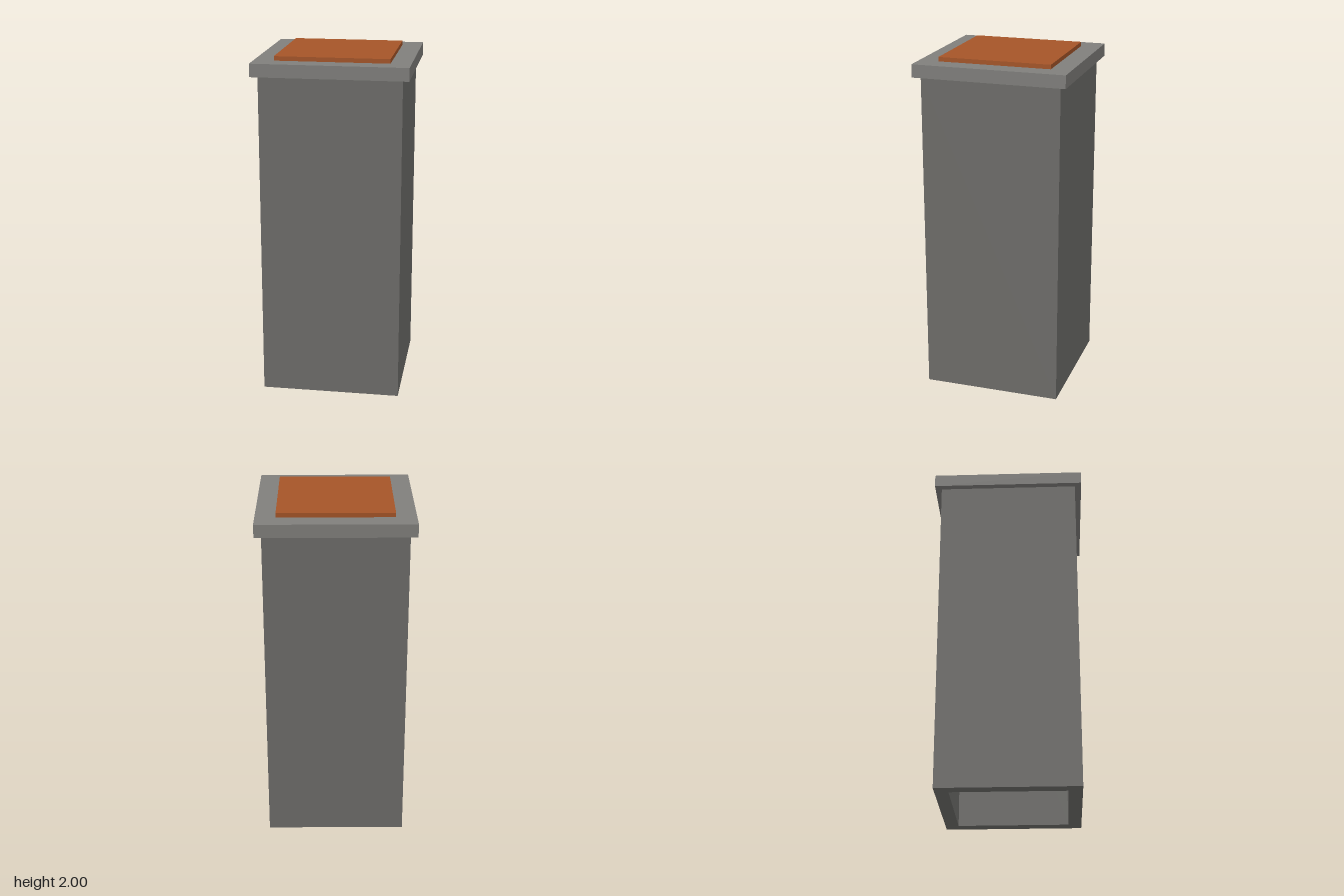
import * as THREE from 'three';

const BODY_HALF = 0.405, INNER_HALF = 0.327, CAP_HALF = 0.443;
const BODY_TOP = 1.9, CAP_TOP = 1.975, TOP = 2;

function material(color) {
  return new THREE.MeshStandardMaterial({ color });
}

// Square outline centred on the origin
function trace(path, h) {
  path.moveTo(-h, -h);
  path.lineTo(h, -h);
  path.lineTo(h, h);
  path.lineTo(-h, h);
  path.closePath();
  return path;
}

// Square slab between two heights
function slab(name, half, y0, y1, mat) {
  const mesh = new THREE.Mesh(new THREE.BoxGeometry(half * 2, y1 - y0, half * 2), mat);
  mesh.position.y = (y0 + y1) / 2;
  mesh.name = name;
  return mesh;
}

export function createModel() {
  const group = new THREE.Group();
  group.name = 'pillar';

  // Hollow square shaft, open at the bottom
  const outline = trace(new THREE.Shape(), BODY_HALF);
  outline.holes.push(trace(new THREE.Path(), INNER_HALF));
  const geometry = new THREE.ExtrudeGeometry(outline, { depth: BODY_TOP, bevelEnabled: false });
  geometry.rotateX(-Math.PI / 2);
  const shaft = new THREE.Mesh(geometry, material(0x6e6d6a));
  shaft.name = 'shaft';
  group.add(shaft);

  // Overhanging cap and the raised coloured panel on it
  group.add(slab('cap', CAP_HALF, BODY_TOP, CAP_TOP, material(0x807f7c)));
  group.add(slab('topPanel', INNER_HALF, CAP_TOP, TOP, material(0xa55528)));

  return group;
}
